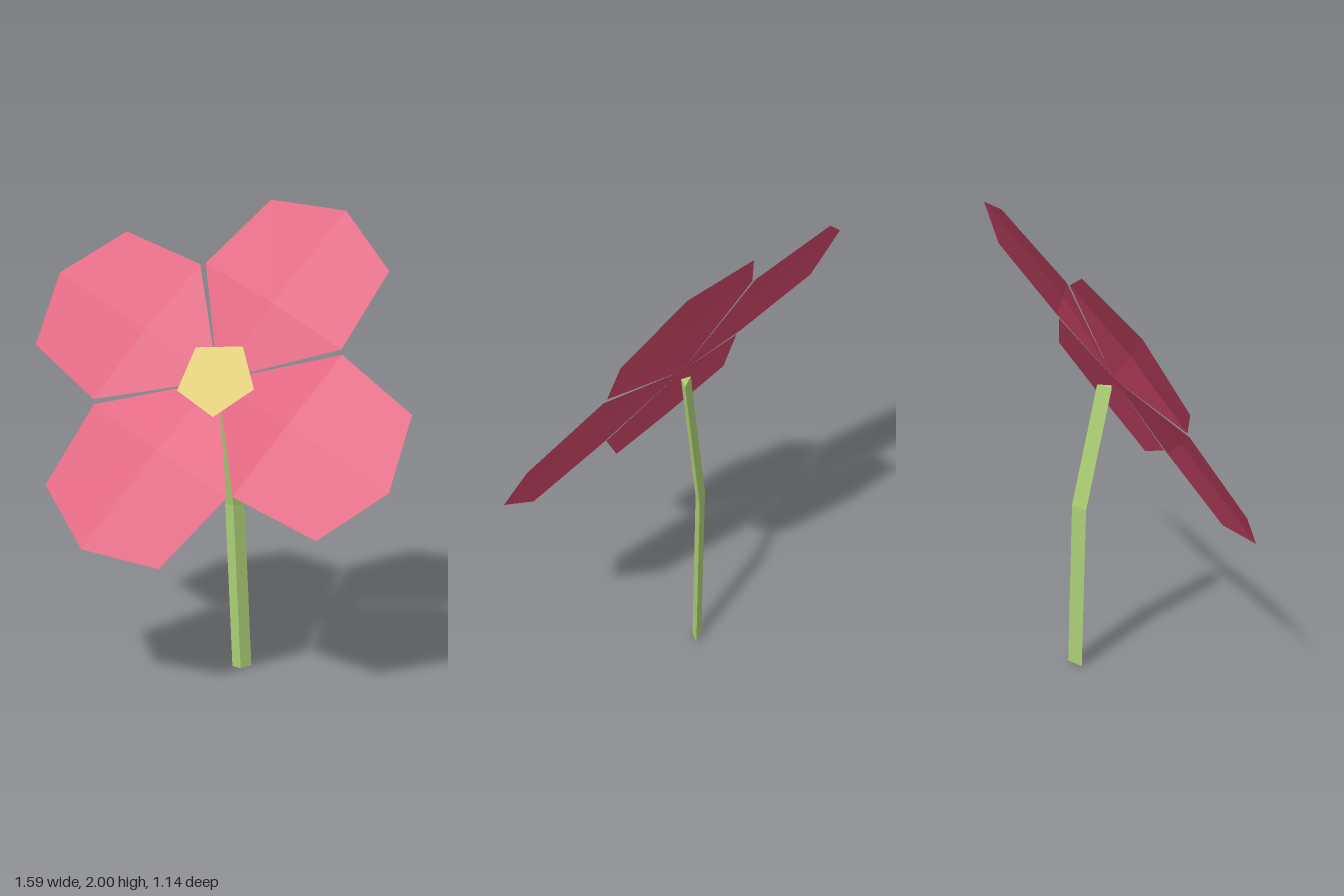
import * as THREE from 'three';

const mat = (name, color, side = THREE.FrontSide) => {
  const m = new THREE.MeshStandardMaterial({ color, side, flatShading: true });
  m.name = name;
  return m;
};

// Unshared triangles from points and index triples, for crisp facets
function facets(points, faces) {
  const g = new THREE.BufferGeometry();
  g.setAttribute('position', new THREE.Float32BufferAttribute(faces.flat().flatMap(i => points[i]), 3));
  g.computeVertexNormals();
  return g;
}

// Gently domed petal: tip, three outer corners and two sides fanned around a raised middle
function petalGeometry() {
  const points = [
    [0, 0.385, 0.015],
    [0, 0, -0.035], [0.364, 0.381, 0], [0.3145, 0.767, -0.013],
    [0, 0.89, 0.001], [-0.3145, 0.767, -0.013], [-0.364, 0.381, 0],
  ];
  const faces = [];
  for (let i = 0; i < 6; i++) faces.push([0, 1 + i, 1 + (i + 1) % 6]);
  return facets(points, faces);
}

// Three-sided stem with one bend, swept through [x shift, y, z shift] stations
function stemGeometry() {
  const section = [[-0.008, -0.168], [0, -0.228], [-0.053, -0.164]];
  const stations = [[0, 0, 0], [-0.021, 0.735, 0.026], [0, 1.26, 0.132]];
  const points = stations.flatMap(([dx, y, dz]) => section.map(([x, z]) => [x + dx, y, z + dz]));
  const faces = [[0, 2, 1], [6, 7, 8]];
  for (let r = 0; r < 2; r++) {
    for (let i = 0; i < 3; i++) {
      const a = r * 3 + i, b = r * 3 + (i + 1) % 3;
      faces.push([a, b, b + 3], [a, b + 3, a + 3]);
    }
  }
  return facets(points, faces);
}

export function createModel() {
  const pink = mat('petal pink', 0xdb4b70, THREE.DoubleSide);
  const yellow = mat('centre yellow', 0xd8c45e);
  const green = mat('stem green', 0xaed277);

  const model = new THREE.Group();
  model.name = 'flower';

  const stem = new THREE.Mesh(stemGeometry(), green);
  stem.name = 'stem';
  model.add(stem);

  // Blossom is built in its own xy plane, then tilted up and to its left
  const blossom = new THREE.Group();
  blossom.name = 'blossom';
  const normal = new THREE.Vector3(0.381, 0.538, 0.753).normalize();
  const side = new THREE.Vector3(0.896, -0.417, -0.156);
  side.addScaledVector(normal, -side.dot(normal)).normalize();
  const up = new THREE.Vector3().crossVectors(normal, side);
  blossom.quaternion.setFromRotationMatrix(new THREE.Matrix4().makeBasis(side, up, normal));
  blossom.position.set(0, 1.3125, -0.004);
  model.add(blossom);

  // Four petals
  const petalGeo = petalGeometry();
  for (let i = 0; i < 4; i++) {
    const petal = new THREE.Mesh(petalGeo, pink);
    petal.name = 'petal' + (i + 1);
    petal.rotation.z = i * Math.PI / 2;
    blossom.add(petal);
  }

  // Five-sided centre plate
  const disc = new THREE.CircleGeometry(0.171, 5);
  disc.rotateZ(THREE.MathUtils.degToRad(16));
  const centre = new THREE.Mesh(disc, yellow);
  centre.name = 'centre';
  centre.position.z = -0.008;
  blossom.add(centre);

  return model;
}
